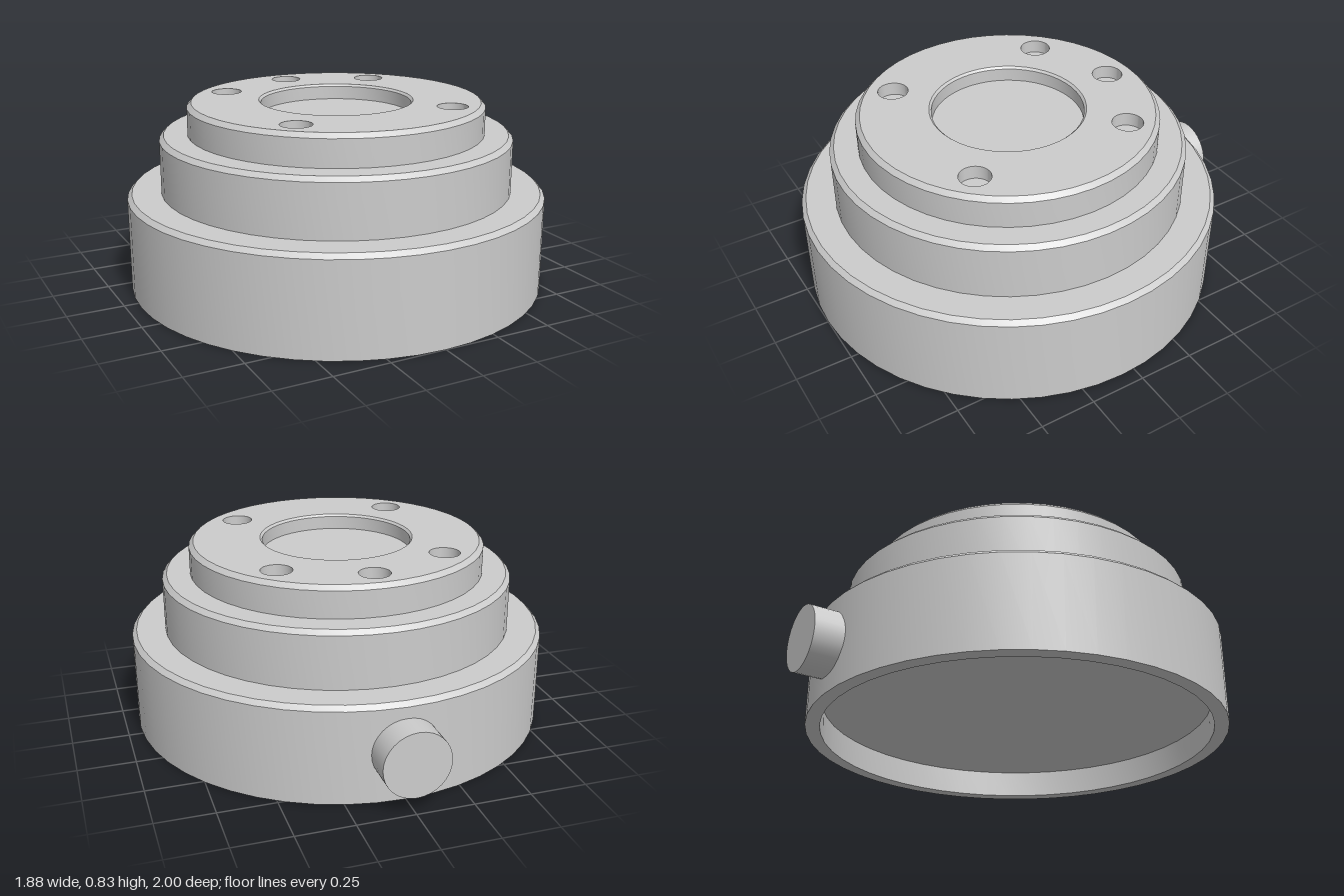
import * as THREE from 'three';
import { toCreasedNormals } from 'three/addons/utils/BufferGeometryUtils.js';

const SIDES = 48;
const TOP = 0.83;

export function createModel() {
  const model = new THREE.Group();
  const material = new THREE.MeshStandardMaterial({ color: 0xcccccc });

  function add(parent, name, geometry) {
    const mesh = new THREE.Mesh(geometry, material);
    mesh.name = name;
    parent.add(mesh);
    return mesh;
  }

  // Turned surface with smooth sides and sharp profile corners
  function turned(profile) {
    const points = profile.map(([r, y]) => new THREE.Vector2(r, y));
    return toCreasedNormals(new THREE.LatheGeometry(points, SIDES), Math.PI / 6);
  }

  // The round body sits slightly forward, to balance the stub at the back
  const hub = new THREE.Group();
  hub.name = 'hub';
  hub.position.z = 0.06;
  model.add(hub);

  // Stepped body: recessed underside, then three chamfered tiers
  const c = 0.02;
  const profile = [[0, 0.125], [0.876, 0.125], [0.876, 0], [0.94, 0]];
  const tiers = [[0.94, 0.435], [0.79, 0.69], [0.665, TOP]];
  tiers.forEach(([r, y], i) => {
    profile.push([r, y - c], [r - c, y]);
    if (tiers[i + 1]) profile.push([tiers[i + 1][0], y]);
  });
  add(hub, 'steppedBody', turned(profile));

  // Top face, pierced by the bore and five bolt holes
  const boreRadius = 0.345, holeRadius = 0.068, boltCircle = 0.53;
  const bolts = [45, 90, 135, 225, 315].map((deg) => {
    const a = THREE.MathUtils.degToRad(deg);
    return [boltCircle * Math.cos(a), boltCircle * Math.sin(a)];
  });
  const face = new THREE.Shape().absarc(0, 0, 0.665 - c, 0, Math.PI * 2);
  const cut = (x, y, r) => face.holes.push(new THREE.Path().absarc(x, y, r, 0, Math.PI * 2, true));
  cut(0, 0, boreRadius);
  bolts.forEach(([x, y]) => cut(x, y, holeRadius));
  const topFace = add(hub, 'topFace', new THREE.ShapeGeometry(face, SIDES / 2));
  topFace.rotation.x = -Math.PI / 2;
  topFace.position.y = TOP;

  // Shallow chamfered bore
  add(hub, 'bore', turned([
    [boreRadius, TOP], [boreRadius - 0.01, TOP - 0.01],
    [boreRadius - 0.01, TOP - 0.07], [0, TOP - 0.07],
  ]));

  // Blind bolt holes
  const pit = turned([[holeRadius, 0], [holeRadius, -0.06], [0, -0.06]]);
  bolts.forEach(([x, y]) => add(hub, 'boltHole', pit).position.set(x, TOP, -y));

  // Cable stub at the back
  const stub = add(model, 'rearStub', new THREE.CylinderGeometry(0.145, 0.145, 0.16, 32));
  stub.rotation.x = Math.PI / 2;
  stub.position.set(0, 0.22, -0.92);

  return model;
}
